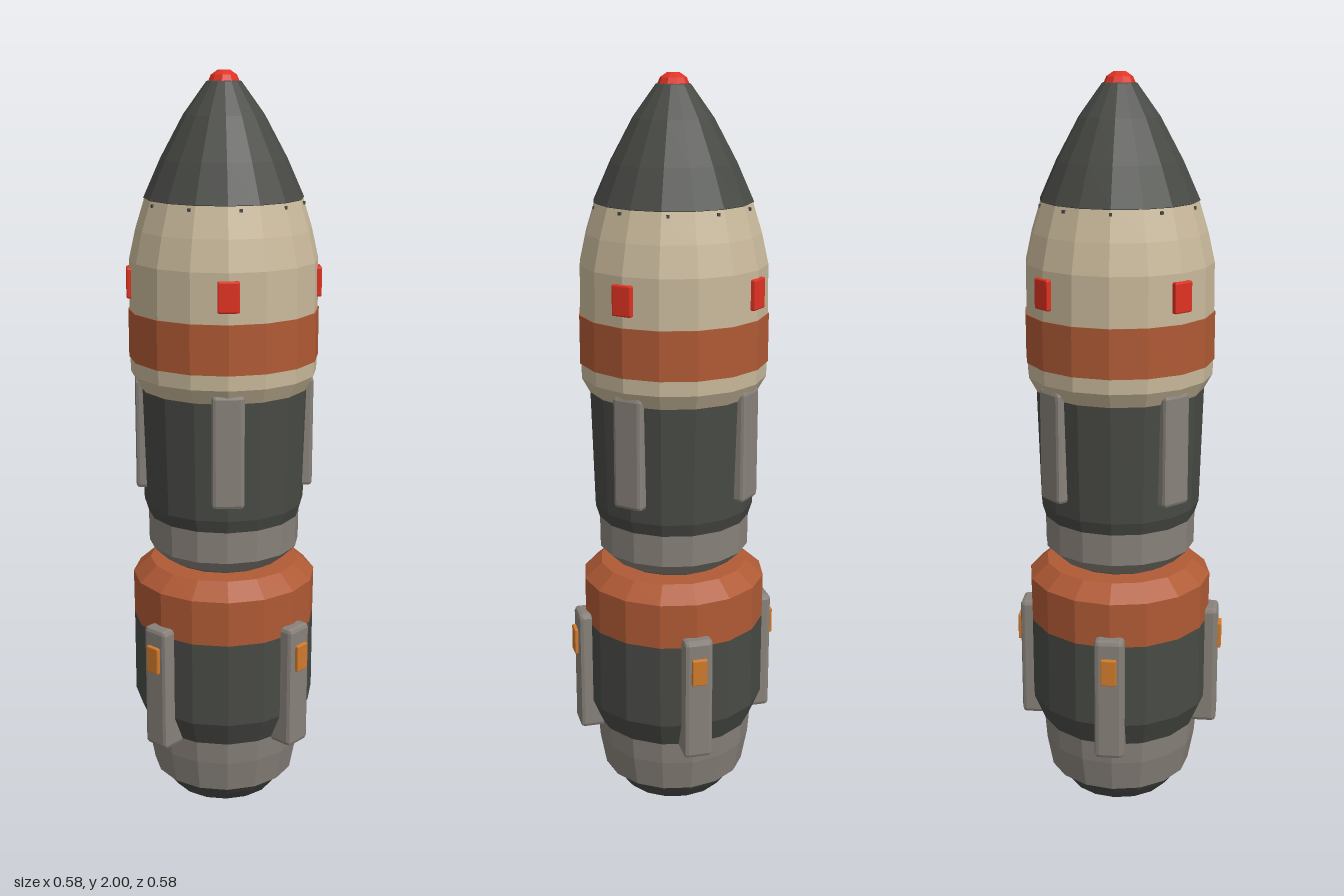
import * as THREE from 'three';
import { RoundedBoxGeometry } from 'three/addons/geometries/RoundedBoxGeometry.js';

const SIDES = 16;

function paint(name, color) {
  const m = new THREE.MeshStandardMaterial({ color, flatShading: true });
  m.name = name;
  return m;
}

export function createModel() {
  const charcoal = paint('charcoal', 0x484a45);
  const grey = paint('warm grey', 0x88817a);
  const rust = paint('rust', 0xb05a35);
  const cream = paint('cream', 0xc9b99b);
  const red = paint('red', 0xe03222);
  const orange = paint('orange', 0xd07a2c);

  const rocket = new THREE.Group();
  rocket.name = 'rocket';

  // Faceted ring of the hull: points are [radius, height], from bottom to top
  function hull(name, material, points, sides = SIDES) {
    const profile = points.map(([r, y]) => new THREE.Vector2(r, y));
    const mesh = new THREE.Mesh(new THREE.LatheGeometry(profile, sides), material);
    mesh.name = name;
    rocket.add(mesh);
  }

  // Boxes repeated around the hull, with their outer face at the given radius
  function around(name, material, count, startDeg, outer, y0, y1, width, depth, bevel) {
    const group = new THREE.Group();
    group.name = name;
    const size = [width, y1 - y0, depth];
    const geometry = bevel
      ? new RoundedBoxGeometry(...size, 1, bevel)
      : new THREE.BoxGeometry(...size);
    for (let i = 0; i < count; i++) {
      const a = THREE.MathUtils.degToRad(startDeg + (i * 360) / count);
      const mesh = new THREE.Mesh(geometry, material);
      const r = outer - depth / 2;
      mesh.position.set(Math.sin(a) * r, (y0 + y1) / 2, Math.cos(a) * r);
      mesh.rotation.y = a;
      mesh.name = name;
      group.add(mesh);
    }
    rocket.add(group);
  }

  // Lower stage
  hull('engineBase', charcoal, [[0, 0], [0.145, 0], [0.168, 0.03], [0.178, 0.045], [0.198, 0.06]]);
  hull('engineSkirt', grey, [[0.17, 0.045], [0.2, 0.06], [0.217, 0.15], [0.222, 0.213]]);
  hull('lowerBody', charcoal, [[0.222, 0.213], [0.252, 0.285], [0.252, 0.52]]);
  hull('lowerCollar', rust, [[0.252, 0.52], [0.253, 0.645], [0.205, 0.687], [0.14, 0.69]]);
  hull('neck', charcoal, [[0.148, 0.68], [0.148, 0.71]]);

  // Upper stage
  hull('upperSkirt', grey, [[0.14, 0.702], [0.17, 0.702], [0.207, 0.738], [0.208, 0.825]]);
  hull('upperBody', charcoal, [[0.208, 0.825], [0.219, 0.86], [0.228, 1.18]]);
  hull('shoulder', cream, [[0.228, 1.18], [0.25, 1.22], [0.251, 1.26]]);
  hull('stripe', rust, [[0.248, 1.26], [0.254, 1.26], [0.254, 1.39], [0.248, 1.39]]);
  hull('upperShell', cream, [[0.251, 1.39], [0.25, 1.52], [0.232, 1.6], [0.207, 1.68]]);
  hull('noseCone', charcoal, [[0.203, 1.676], [0.21, 1.68], [0.165, 1.78], [0.105, 1.89], [0.045, 1.972], [0.03, 1.976]]);
  hull('noseTip', red, [[0.041, 1.972], [0.034, 1.988], [0.016, 2], [0, 2]], 10);

  // Side fittings
  around('lowerPod', grey, 4, 0, 0.28, 0.2, 0.55, 0.08, 0.08, 0.012);
  around('podLamp', orange, 4, 0, 0.29, 0.425, 0.5, 0.042, 0.03, 0.003);
  around('upperRail', grey, 4, 45, 0.24, 0.9, 1.205, 0.085, 0.05, 0.01);
  around('signalPanel', red, 4, 45, 0.258, 1.42, 1.5, 0.056, 0.03, 0.004);
  around('rivet', charcoal, 10, 18, 0.212, 1.664, 1.672, 0.008, 0.008, 0);

  return rocket;
}
